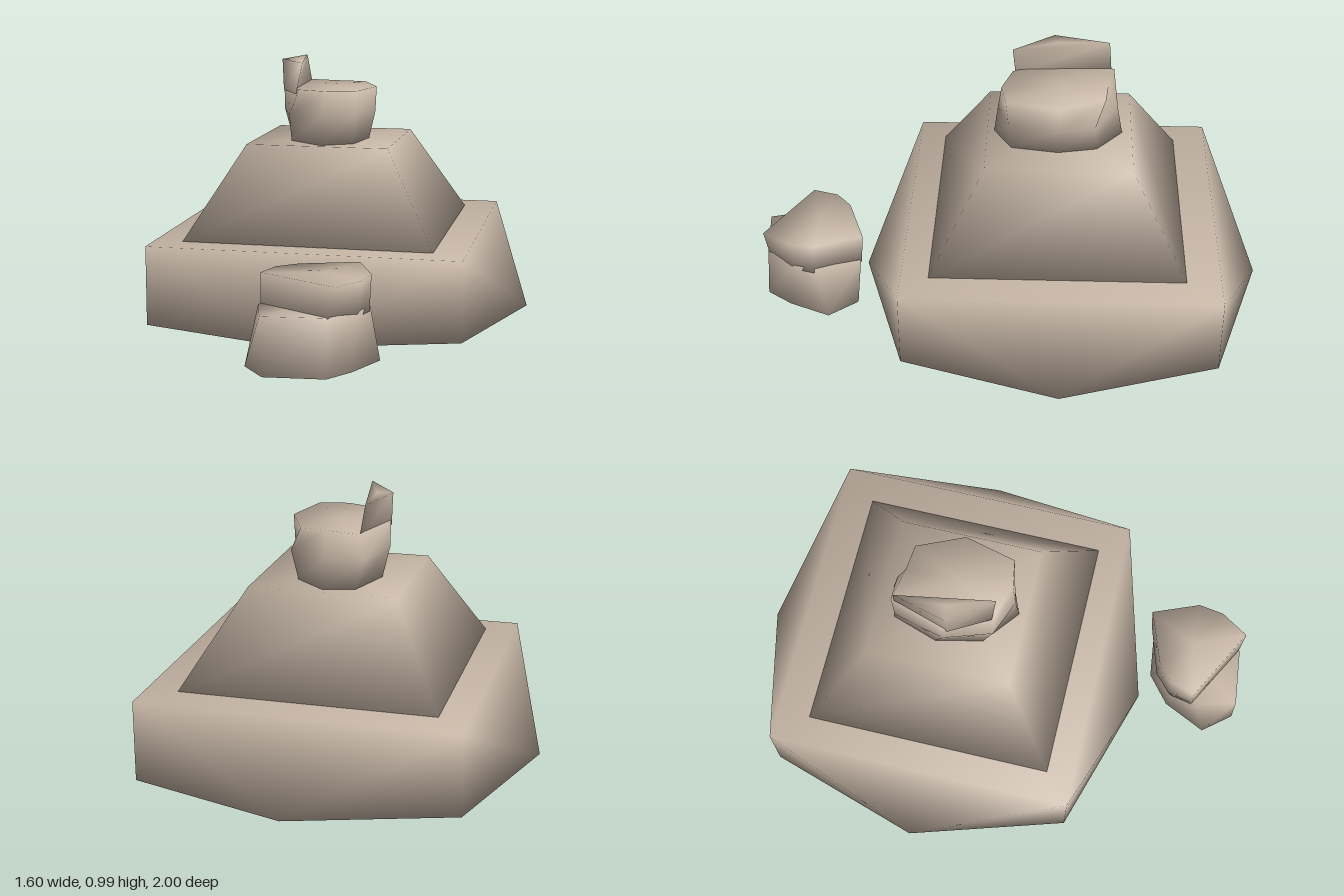
import * as THREE from 'three';

const stone = new THREE.MeshStandardMaterial({ color: 0xc4b4a4 });
stone.name = 'sandstone';

function makeMesh(name, points, index) {
  const geometry = new THREE.BufferGeometry();
  geometry.setAttribute('position', new THREE.Float32BufferAttribute(points.flat(), 3));
  geometry.setIndex(index);
  geometry.computeVertexNormals();
  const mesh = new THREE.Mesh(geometry, stone);
  mesh.name = name;
  return mesh;
}

// Average point of a ring, used as the hub of its cap
function hub(ring) {
  return [0, 1, 2].map((k) => ring.reduce((sum, p) => sum + p[k], 0) / ring.length);
}

// Closed solid through rings of [x, z] points, counterclockwise seen from above
function loft(name, levels) {
  const rings = levels.map(([y, outline]) => outline.map(([x, z]) => [x, y, z]));
  const n = rings[0].length;
  const last = (rings.length - 1) * n;
  const points = [...rings.flat(), hub(rings[0]), hub(rings[rings.length - 1])];
  const bottom = last + n, top = bottom + 1;
  const index = [];
  for (let i = 0; i < n; i++) {
    const j = (i + 1) % n;
    for (let r = 0; r < last; r += n) {
      index.push(r + i, r + j, r + n + j, r + i, r + n + j, r + n + i);
    }
    index.push(bottom, j, i, top, last + i, last + j);
  }
  return makeMesh(name, points, index);
}

const square = (h, cx, cz) => [[cx + h, cz + h], [cx + h, cz - h], [cx - h, cz - h], [cx - h, cz + h]];

// Lower tier: octagonal footprint rising to a square top
function lowerTier() {
  const cz = -0.2, height = 0.31;
  const corners = square(0.61, 0, cz);
  const mids = [[0.8, cz], [0, cz - 0.8], [-0.8, cz], [0, cz + 0.8]];
  const points = [
    ...corners.map(([x, z]) => [x, 0, z]),
    ...mids.map(([x, z]) => [x, 0, z]),
    ...corners.map(([x, z]) => [x, height, z]),
    [0, 0, cz], [0, height, cz],
  ];
  const index = [];
  for (let i = 0; i < 4; i++) {
    const j = (i + 1) % 4, mid = 4 + i, a = 8 + i, b = 8 + j;
    index.push(i, mid, a, mid, j, b, mid, b, a); // walls and sloping face
    index.push(12, mid, i, 12, j, mid, 13, a, b); // underside and top
  }
  return makeMesh('lowerTier', points, index);
}

export function createModel() {
  const model = new THREE.Group();
  model.name = 'steppedRuin';

  model.add(lowerTier());
  model.add(loft('upperTier', [
    [0.312, square(0.49, -0.005, -0.187)],
    [0.67, square(0.282, -0.008, -0.185)],
  ]));

  // Broken stone on the summit, with a raised splinter on one side
  const summit = new THREE.Group();
  summit.name = 'summitStone';
  summit.add(loft('summitBody', [
    [0.67, [[0.15, -0.18], [0.12, -0.33], [0, -0.43], [-0.12, -0.4], [-0.18, -0.22], [-0.14, -0.04], [0, 0.07], [0.12, 0]]],
    [0.78, [[0.175, -0.18], [0.15, -0.32], [0, -0.41], [-0.15, -0.38], [-0.2, -0.18], [-0.14, 0], [0, 0.055], [0.13, 0.01]]],
    [0.88, [[0.18, -0.18], [0.1, -0.36], [0, -0.37], [-0.13, -0.395], [-0.2, -0.17], [-0.1, 0], [0.02, 0.04], [0.13, 0.02]]],
  ]));
  summit.add(loft('summitSplinter', [
    [0.86, [[-0.115, -0.01], [-0.13, -0.385], [-0.2, -0.16]]],
    [0.985, [[-0.085, 0], [-0.15, -0.375], [-0.205, -0.16]]],
  ]));

  // Fallen stone in front, with one chipped top corner
  const fallen = new THREE.Group();
  fallen.name = 'fallenStone';
  fallen.add(loft('fallenBody', [
    [0.01, [[0.36, 0.72], [0.27, 0.61], [0.1, 0.63], [-0.01, 0.72], [-0.09, 0.89], [0, 1], [0.22, 0.98], [0.29, 0.88]]],
    [0.22, [[0.33, 0.76], [0.25, 0.59], [0.05, 0.65], [-0.03, 0.72], [-0.055, 0.83], [-0.01, 0.99], [0.215, 0.965], [0.31, 0.85]]],
  ]));
  fallen.add(loft('fallenTop', [
    [0.2, [[0.33, 0.77], [0.25, 0.588], [0.045, 0.65], [-0.03, 0.72], [-0.05, 0.815], [0.215, 0.96], [0.305, 0.855]]],
    [0.33, [[0.335, 0.76], [0.26, 0.577], [0.05, 0.65], [-0.02, 0.71], [-0.05, 0.81], [0.25, 0.97], [0.32, 0.86]]],
  ]));

  model.add(summit, fallen);
  return model;
}
